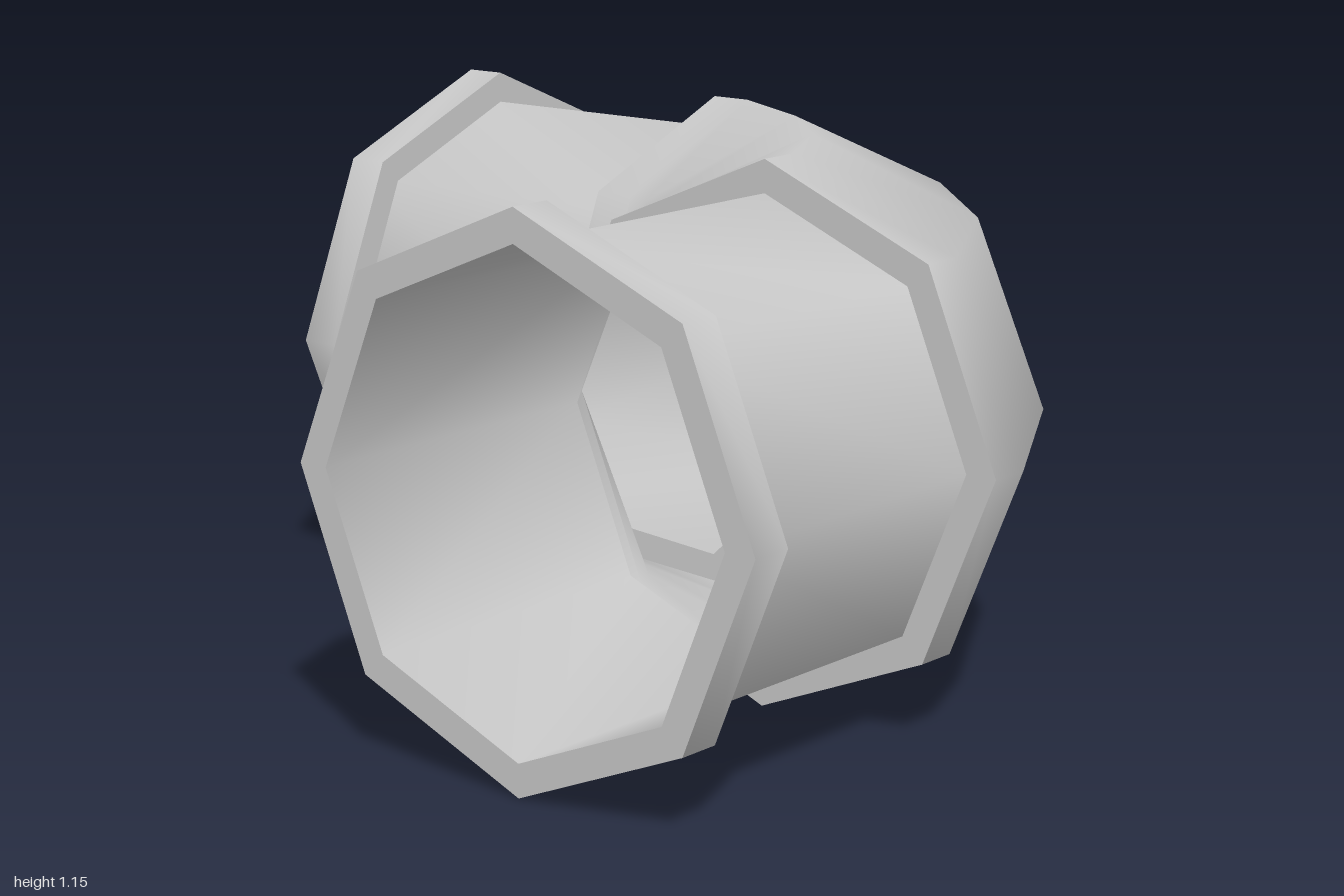
import * as THREE from 'three';

const SIDES = 8;
const AXIS = 0.425;   // offset of each arm's centre line
const MID_Y = 0.575;  // height of the centre lines
const OUTER = 0.575;  // radius of flanges and elbow
const INNER = 0.505;  // radius of the pipes

// Octagonal section: centre (x, z), horizontal radial direction (dx, dz)
function section(x, z, dx, dz, radial, height) {
  const points = [];
  for (let k = 0; k < SIDES; k++) {
    const a = (k / SIDES) * Math.PI * 2;
    const r = Math.cos(a) * radial;
    points.push([x + dx * r, MID_Y + Math.sin(a) * height, z + dz * r]);
  }
  return points;
}

// Section of a straight arm at distance t along it
function armSection(side, t, radius) {
  return side === 0
    ? section(t, AXIS, 0, 1, radius, radius)
    : section(AXIS, t, 1, 0, radius, radius);
}

// Smooth skin through a list of sections
function skin(sections) {
  const index = [];
  for (let i = 0; i < sections.length - 1; i++) {
    for (let k = 0; k < SIDES; k++) {
      const a = i * SIDES + k;
      const b = i * SIDES + (k + 1) % SIDES;
      index.push(a, a + SIDES, b, b, a + SIDES, b + SIDES);
    }
  }
  const geometry = new THREE.BufferGeometry();
  geometry.setAttribute('position', new THREE.Float32BufferAttribute(sections.flat(2), 3));
  geometry.setIndex(index);
  geometry.computeVertexNormals();
  return geometry;
}

export function createModel() {
  const model = new THREE.Group();
  model.name = 'pipeElbow';
  const grey = new THREE.MeshStandardMaterial({ color: 0xc8c8c8, side: THREE.DoubleSide });
  grey.name = 'light grey';

  const add = (parent, name, sections) => {
    const mesh = new THREE.Mesh(skin(sections), grey);
    mesh.name = name;
    parent.add(mesh);
  };

  // Two matching arms, each a pipe with an end flange and a step up to the elbow
  ['sideArm', 'backArm'].forEach((name, side) => {
    const arm = new THREE.Group();
    arm.name = name;
    const part = (label, ...profile) => {
      const sections = profile.map(([t, r]) => armSection(side, t, r));
      add(arm, label, side === 0 ? sections : sections.reverse());
    };
    part('flangeEnd', [-1, INNER], [-1, OUTER]);
    part('flangeRim', [-1, OUTER], [-0.905, OUTER]);
    part('flangeBack', [-0.905, OUTER], [-0.905, INNER]);
    part('pipe', [-1, INNER], [-0.245, INNER]);
    part('elbowLip', [-0.245, INNER], [-0.245, OUTER]);
    model.add(arm);
  });

  // Elbow: sections fan out around the inside corner
  const corner = -0.15;
  const fan = [29.1, 60.9].map((degrees) => {
    const a = THREE.MathUtils.degToRad(degrees);
    const dx = Math.sin(a), dz = Math.cos(a);
    return section(corner + dx * 0.5, corner + dz * 0.5, dx, dz, 0.5, OUTER);
  });
  add(model, 'elbow', [
    armSection(0, -0.245, OUTER),
    armSection(0, corner, OUTER),
    ...fan,
    armSection(1, corner, OUTER),
    armSection(1, -0.245, OUTER),
  ]);

  return model;
}
